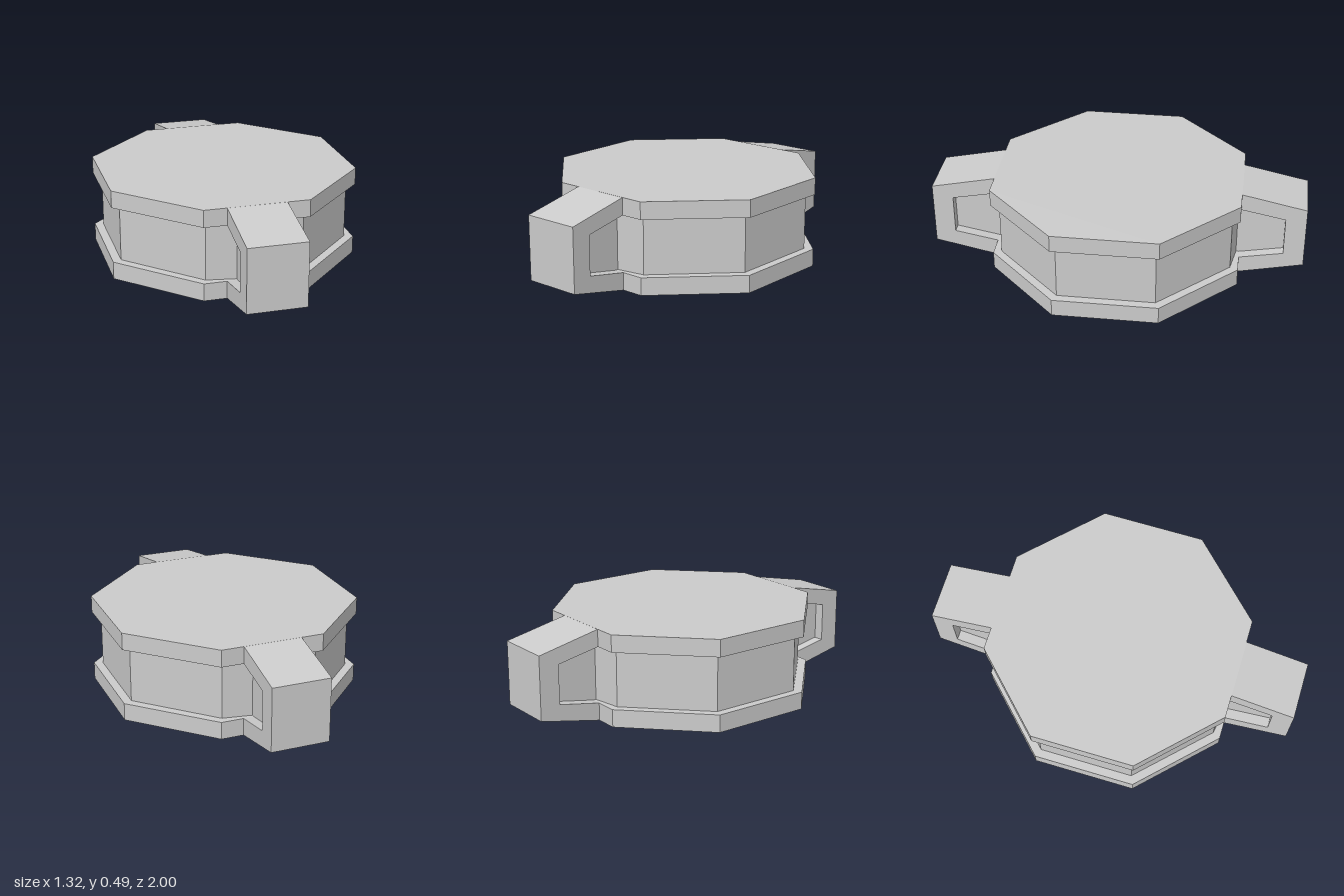
import * as THREE from 'three';

const material = new THREE.MeshStandardMaterial({ color: 0xcccccc, flatShading: true });

const toShape = (points) => new THREE.Shape(points.map(([x, y]) => new THREE.Vector2(x, y)));

// Plan outline in x and z, raised from y0 to y1.
function slab(name, points, y0, y1) {
  const geometry = new THREE.ExtrudeGeometry(toShape(points), { depth: y1 - y0, bevelEnabled: false });
  geometry.rotateX(-Math.PI / 2).translate(0, y0, 0);
  const mesh = new THREE.Mesh(geometry, material);
  mesh.name = name;
  return mesh;
}

// Side profile in z and y, extruded evenly to both sides of x = 0.
function sideProfile(name, points, halfWidth) {
  const geometry = new THREE.ExtrudeGeometry(toShape(points), { depth: 2 * halfWidth, bevelEnabled: false });
  geometry.translate(0, 0, -halfWidth).rotateY(-Math.PI / 2);
  const mesh = new THREE.Mesh(geometry, material);
  mesh.name = name;
  return mesh;
}

// Mirrors one quarter of an outline, listed counter-clockwise, into all four.
function fourWay(quarter) {
  const back = [...quarter].reverse();
  return [
    ...quarter,
    ...back.map(([x, y]) => [-x, y]),
    ...quarter.map(([x, y]) => [-x, -y]),
    ...back.map(([x, y]) => [x, -y]),
  ];
}

function createLug(name) {
  const lug = new THREE.Group();
  lug.name = name;
  // Tapered C-shaped frame
  lug.add(sideProfile('lugFrame', [
    [0.655, 0], [1, 0.073], [1, 0.414], [0.655, 0.487],
    [0.655, 0.395], [0.89, 0.349], [0.89, 0.138], [0.655, 0.094],
  ], 0.155));
  // Recessed web filling the frame
  lug.add(sideProfile('lugWeb', [
    [0.6, 0.084], [0.655, 0.094], [0.89, 0.138], [0.89, 0.349], [0.655, 0.395], [0.6, 0.405],
  ], 0.1));
  return lug;
}

export function createModel() {
  const model = new THREE.Group();
  model.name = 'octagonalHousing';

  // Octagonal plates above and below a slightly smaller drum
  const plate = fourWay([[0.66, 0.275], [0.275, 0.657]]);
  const drum = fourWay([[0.615, 0.255], [0.255, 0.615], [0.1, 0.64]]);
  model.add(slab('bottomPlate', plate, 0, 0.094));
  model.add(slab('drum', drum, 0.09, 0.4));
  model.add(slab('topPlate', plate, 0.395, 0.487));

  // Lugs at the front and back
  const front = createLug('frontLug');
  const back = createLug('backLug');
  back.rotation.y = Math.PI;
  model.add(front, back);
  return model;
}
